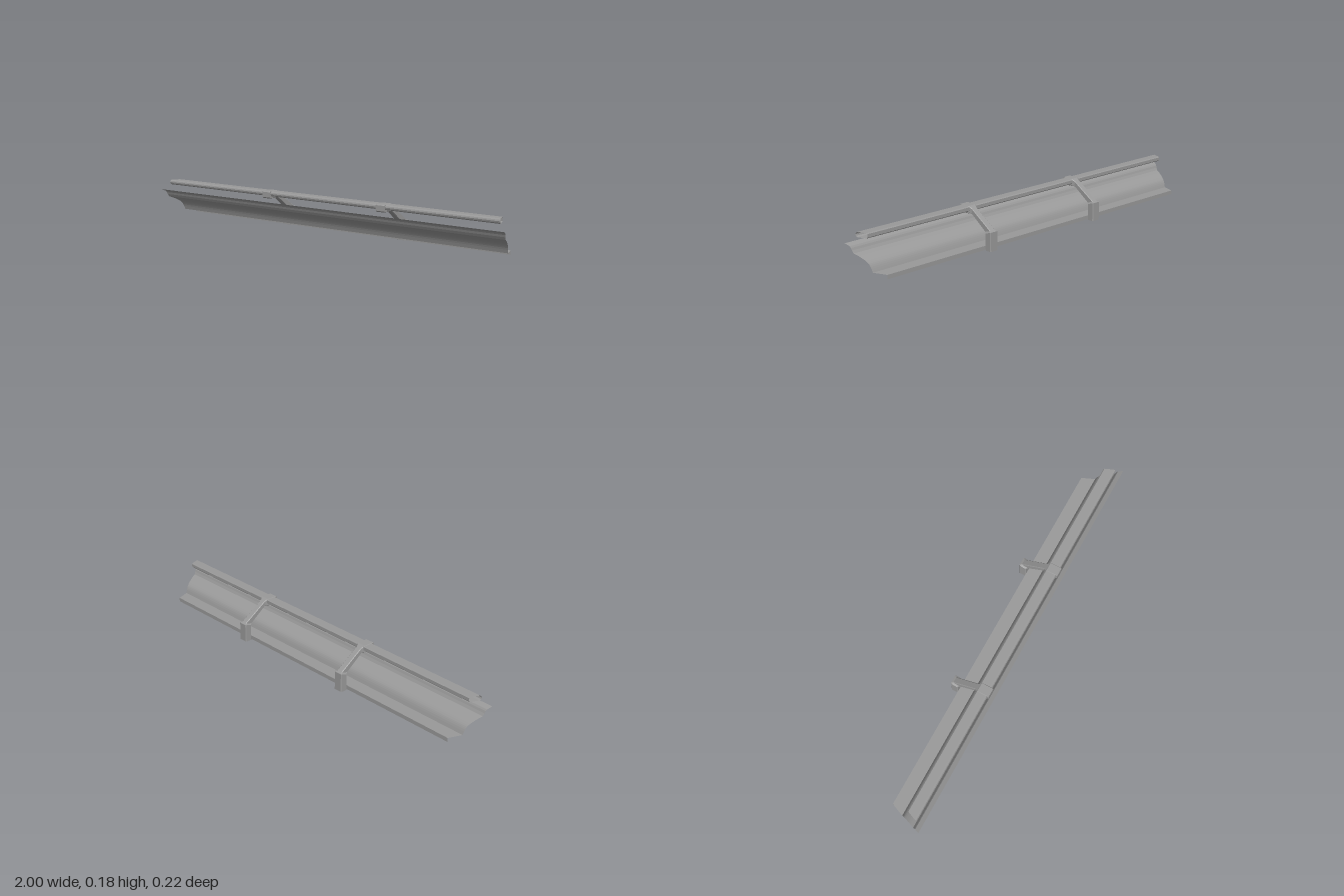
import * as THREE from 'three';

const grey = new THREE.MeshStandardMaterial({ color: 0x999999, side: THREE.DoubleSide });

// Builds a faceted mesh from a flat list of triangle corners
function facetMesh(name, corners) {
  const g = new THREE.BufferGeometry().setFromPoints(corners);
  g.computeVertexNormals();
  const m = new THREE.Mesh(g, grey);
  m.name = name;
  return m;
}

// Sweeps a [z, y] profile along x, with mitred ends: half length = base + slope * z
function mitredStrip(name, profile, base, slope) {
  const end = ([z, y], s) => new THREE.Vector3(s * (base + slope * z), y, z);
  const out = [];
  for (let i = 0; i < profile.length - 1; i++) {
    const a = end(profile[i], -1), b = end(profile[i], 1);
    const c = end(profile[i + 1], 1), d = end(profile[i + 1], -1);
    out.push(a, d, c, a, c, b);
  }
  return facetMesh(name, out);
}

// Chamfered rectangle between an upper and a lower [z, y] point
function ring([uz, uy, lz, ly, w, c]) {
  const h = Math.hypot(uz - lz, uy - ly) / 2;
  const pts = [[w, -h + c], [w, h - c], [w - c, h], [c - w, h],
    [-w, h - c], [-w, -h + c], [c - w, -h], [w - c, -h]];
  return pts.map(([x, b]) => {
    const t = (b / h + 1) / 2;
    return new THREE.Vector3(x, ly + (uy - ly) * t, lz + (uz - lz) * t);
  });
}

function loft(name, sections) {
  const rings = sections.map(ring), out = [];
  const last = rings[rings.length - 1], first = rings[0];
  for (let i = 0; i < rings.length - 1; i++) {
    for (let j = 0; j < 8; j++) {
      const k = (j + 1) % 8, p = rings[i], q = rings[i + 1];
      out.push(p[j], p[k], q[k], p[j], q[k], q[j]);
    }
  }
  for (let j = 1; j < 7; j++) {
    out.push(first[0], first[j + 1], first[j]);
    out.push(last[0], last[j], last[j + 1]);
  }
  return facetMesh(name, out);
}

export function createModel() {
  const model = new THREE.Group();
  model.name = 'curtainCornice';

  // Moulded cornice: top lip, ogee curve, cove, ledge and rear flange
  const cove = new THREE.SplineCurve([
    [0.07, 0.093], [0.039, 0.08], [0.011, 0.0625], [-0.002, 0.045], [-0.011, 0.021],
  ].map(([z, y]) => new THREE.Vector2(z, y))).getPoints(12).map(p => [p.x, p.y]);
  const cornice = [
    [0.108, 0.132], [0.097, 0.127], [0.086, 0.122], [0.081, 0.115], [0.077, 0.105],
    ...cove, [-0.018, 0.021], [-0.074, 0.021], [-0.074, 0.002],
  ];
  model.add(mitredStrip('cornice', cornice, 0.956, 0.405));

  // Curtain rail: hollow tube with softened edges and open mitred ends
  const rail = [
    [0.031, 0.157], [0.027, 0.161], [0.027, 0.176], [0.031, 0.18],
    [0.073, 0.18], [0.079, 0.175], [0.081, 0.169], [0.079, 0.162], [0.073, 0.157], [0.031, 0.157],
  ];
  model.add(mitredStrip('curtainRail', rail, 0.931, 0.405));

  // Brackets: upright, sloping arm and clip around the rail
  // Each section: upper z, y, lower z, y, half width, chamfer
  const upright = [
    [-0.11, 0, -0.075, 0, 0.023, 0.004],
    [-0.11, 0.088, -0.075, 0.078, 0.023, 0.004],
    [-0.1, 0.092, -0.066, 0.082, 0.015, 0.003],
  ];
  const arm = [
    [-0.1, 0.092, -0.066, 0.082, 0.015, 0.003],
    [0.016, 0.171, 0.018, 0.145, 0.015, 0.003],
    [0.028, 0.179, 0.028, 0.149, 0.02, 0.003],
  ];
  const clip = [
    [0.028, 0.179, 0.028, 0.149, 0.02, 0.002],
    [0.032, 0.182, 0.032, 0.147, 0.023, 0.002],
    [0.083, 0.182, 0.083, 0.147, 0.023, 0.002],
    [0.088, 0.177, 0.088, 0.152, 0.023, 0.002],
  ];
  [-0.305, 0.362].forEach((x) => {
    const bracket = new THREE.Group();
    bracket.name = 'bracket';
    bracket.add(loft('upright', upright), loft('arm', arm), loft('railClip', clip));
    bracket.position.x = x;
    model.add(bracket);
  });
  return model;
}
